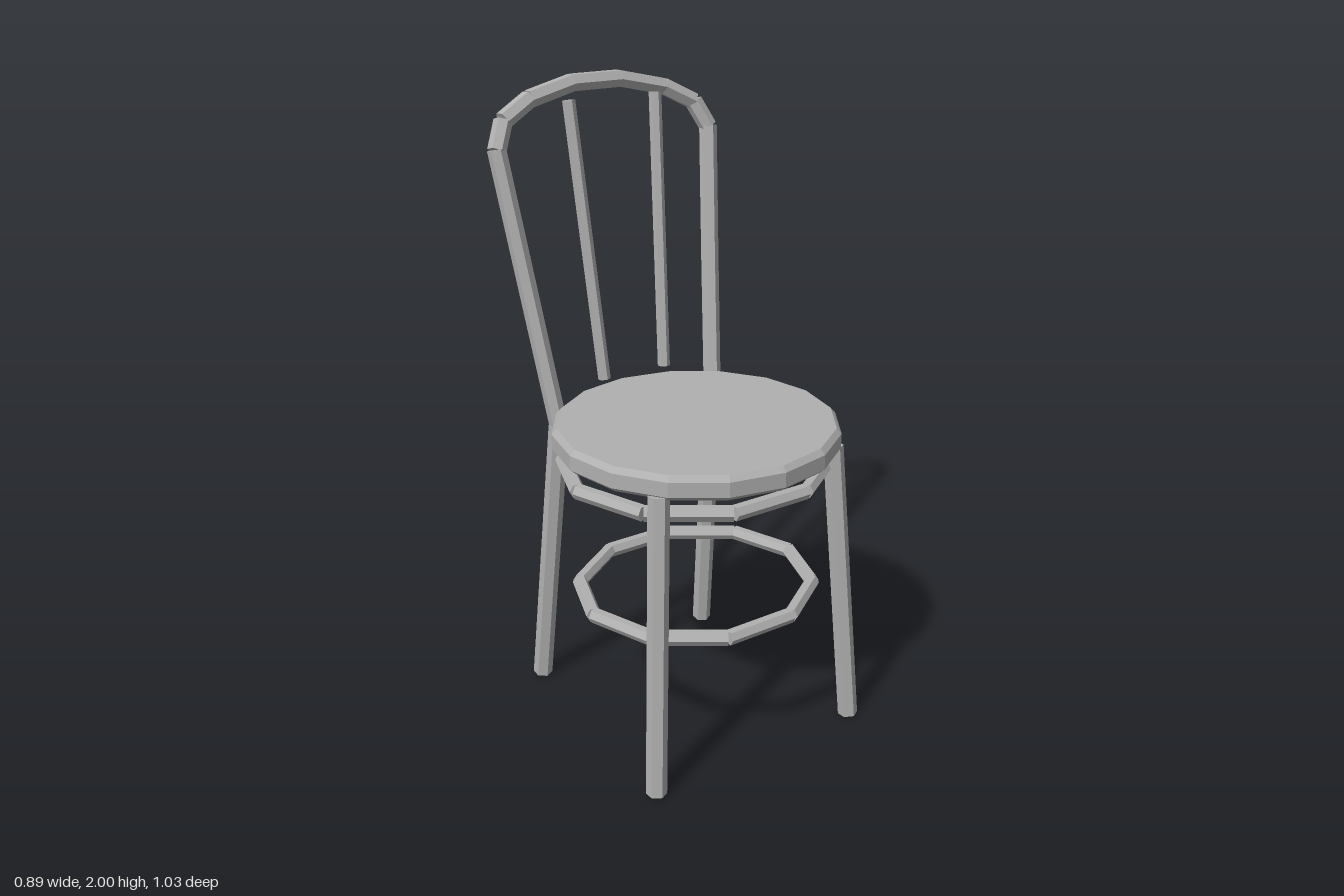
import * as THREE from 'three';

const V = (x, y, z) => new THREE.Vector3(x, y, z);

export function createModel() {
  const chair = new THREE.Group();
  chair.name = 'chair';
  const grey = new THREE.MeshStandardMaterial({ color: 0xb0b0b0, flatShading: true });
  grey.name = 'grey';

  // Six-sided rod from a to b, with one corner edge turned towards "out"
  function rod(parent, name, a, b, radius, out = V(0, 0, 1)) {
    const t = b.clone().sub(a);
    const length = t.length();
    t.normalize();
    const z = out.clone().addScaledVector(t, -out.dot(t)).normalize();
    const x = t.clone().cross(z);
    const mesh = new THREE.Mesh(new THREE.CylinderGeometry(radius, radius, length, 6), grey);
    mesh.name = name;
    mesh.quaternion.setFromRotationMatrix(new THREE.Matrix4().makeBasis(x, t, z));
    mesh.position.copy(a).add(b).multiplyScalar(0.5);
    parent.add(mesh);
  }

  // Chain of rods through a list of points
  function chain(name, points, radius) {
    const group = new THREE.Group();
    group.name = name;
    for (let i = 0; i + 1 < points.length; i++) {
      rod(group, name + 'Segment', points[i], points[i + 1], radius);
    }
    chair.add(group);
  }

  // Ten-segment ring of rods under the seat
  function ring(name, y, a, b, radius) {
    const group = new THREE.Group();
    group.name = name;
    const at = (i) => V(a * Math.cos(i * Math.PI / 5), y, 0.07 + b * Math.sin(i * Math.PI / 5));
    for (let i = 0; i < 10; i++) {
      const angle = (i + 0.5) * Math.PI / 5;
      rod(group, name + 'Segment', at(i), at(i + 1), radius, V(Math.cos(angle), 0, Math.sin(angle)));
    }
    chair.add(group);
  }

  // Seat: bevelled sixteen-sided disc
  const profile = [[0, 0.94], [0.425, 0.94], [0.445, 0.957], [0.445, 1.003], [0.43, 1.02], [0, 1.02]];
  const seat = new THREE.Mesh(
    new THREE.LatheGeometry(profile.map(([r, y]) => new THREE.Vector2(r, y)), 16), grey);
  seat.name = 'seat';
  seat.position.z = 0.068;
  chair.add(seat);

  // Legs, back posts and spindles, mirrored
  for (const [side, s] of [['left', 1], ['right', -1]]) {
    rod(chair, side + 'FrontLeg', V(0.376 * s, 0.003, 0.408), V(0.318 * s, 0.95, 0.343), 0.032);
    rod(chair, side + 'BackLeg', V(0.335 * s, 0.003, -0.375), V(0.297 * s, 0.95, -0.265), 0.032);
    chain(side + 'BackPost', [
      V(0.297 * s, 0.95, -0.265), V(0.343 * s, 1.4, -0.35), V(0.385 * s, 1.805, -0.425),
    ], 0.029);
    rod(chair, side + 'Spindle', V(0.114 * s, 1.065, -0.284), V(0.155 * s, 1.935, -0.388), 0.02);
  }

  // Curved top of the back
  const half = [[0.385, 1.8, -0.424], [0.345, 1.882, -0.452], [0.243, 1.935, -0.475], [0.085, 1.97, -0.49]];
  chain('backArch', [
    ...half.map(([x, y, z]) => V(-x, y, z)),
    ...half.slice().reverse().map(([x, y, z]) => V(x, y, z)),
  ], 0.029);

  // Stretcher rings
  ring('upperRing', 0.885, 0.424, 0.395, 0.024);
  ring('lowerRing', 0.455, 0.381, 0.357, 0.024);

  return chair;
}
